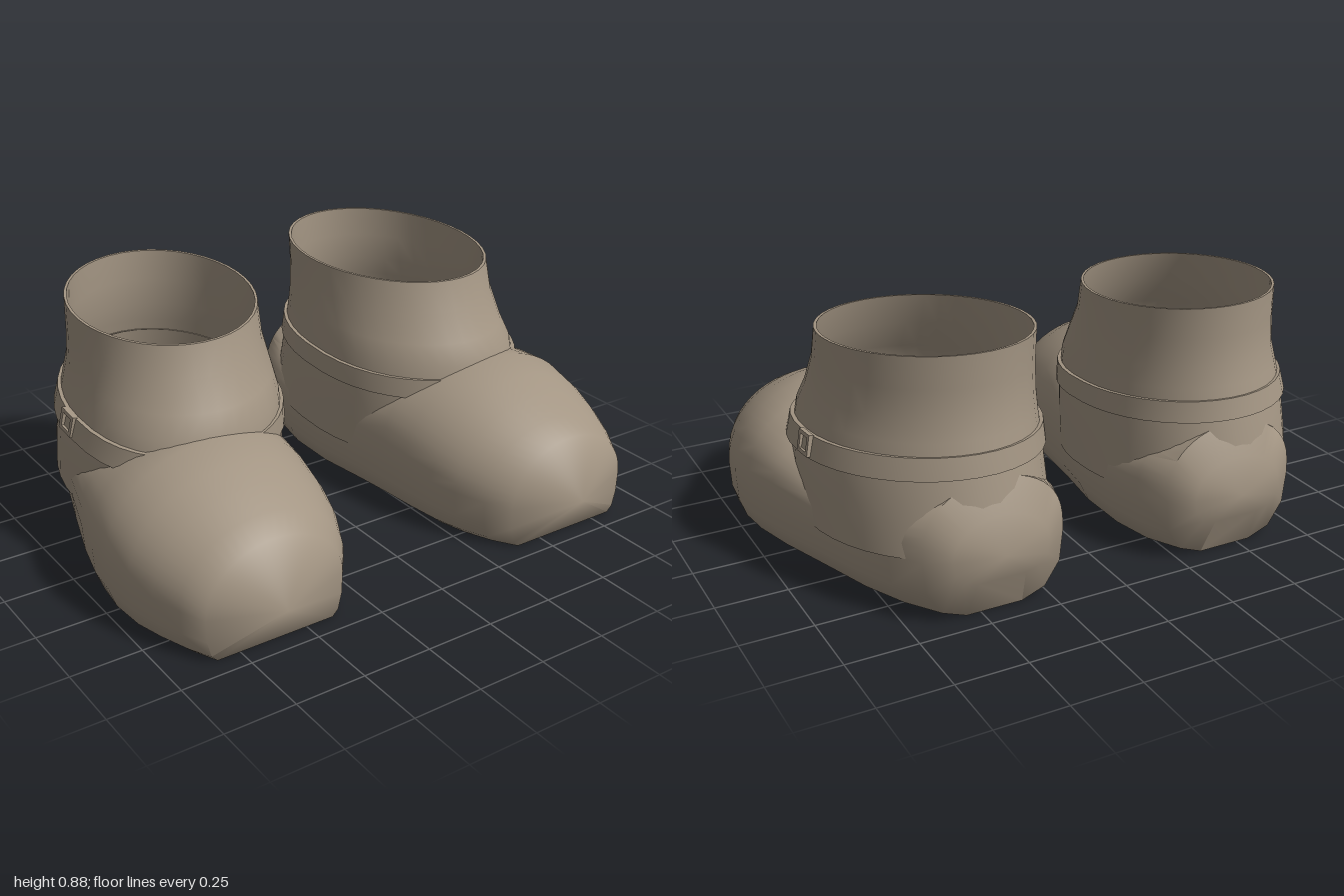
import * as THREE from 'three';
import { toCreasedNormals } from 'three/addons/utils/BufferGeometryUtils.js';

// Skin closed rings of equal point count, first to last
function loft(rings, crease) {
  const n = rings[0].length, pos = [], idx = [];
  rings.forEach(r => r.forEach(p => pos.push(p[0], p[1], p[2])));
  for (let i = 0; i < rings.length - 1; i++)
    for (let j = 0; j < n; j++) {
      const a = i * n + j, b = i * n + (j + 1) % n;
      idx.push(a, b, a + n, b, b + n, a + n);
    }
  const g = new THREE.BufferGeometry();
  g.setAttribute('position', new THREE.Float32BufferAttribute(pos, 3));
  g.setIndex(idx);
  return toCreasedNormals(g, crease);
}

// Upright cross-section of the foot: flat sole, rounded sides, domed top.
// A smaller dome power gives squarer shoulders; sole is its share of the width.
function footSection([z, xIn, xOut, top, wide, power, sole, base = 0.003]) {
  const c = (xIn + xOut) / 2, w = (xOut - xIn) / 2;
  const under = [[0, 0], [0.56, 0.14], [0.92, 0.5]].map(([s, h]) =>
    [w * (sole + (1 - sole) * s), base + (wide - base) * h]);
  const pts = under.map(([x, y]) => [c + x, y, z]);
  for (let i = 0; i <= 24; i++) {
    const t = (i / 24) * Math.PI;
    const rise = Math.pow(Math.max(0, Math.sin(t)), power);
    pts.push([c + w * Math.cos(t), wide + (top - wide) * rise, z]);
  }
  under.reverse().forEach(([x, y]) => pts.push([c - x, y, z]));
  return pts;
}

// Tilted oval ring, higher at the heel and slightly skewed.
// A smaller front power squares off its front; inset shrinks it.
function ovalRing([y, xIn, xOut, zBack, zFront, front], tilt, inset = 0) {
  const cx = (xIn + xOut) / 2, cz = (zBack + zFront) / 2;
  const rx = (xOut - xIn) / 2 - inset, rz = (zFront - zBack) / 2 - inset, pts = [];
  for (let i = 0; i < 40; i++) {
    const t = (i / 40) * Math.PI * 2, c = Math.cos(t), s = Math.sin(t);
    const depth = s > 0 ? Math.pow(s, front) : s;
    const z = cz + rz * depth + 0.12 * rx * c;
    pts.push([cx + rx * c, y - tilt * (z + 0.25), z]);
  }
  return pts.reverse();
}

function createBoot(leather) {
  const boot = new THREE.Group();
  const add = (name, geometry) => {
    const m = new THREE.Mesh(geometry, leather);
    m.name = name;
    boot.add(m);
    return m;
  };

  // Foot: z, inner x, outer x, top y, widest y, dome power, sole share, base y
  const sections = [
    [-0.725, 0.28, 0.62, 0.36, 0.235, 0.9, 0.5, 0.14],
    [-0.67, 0.20, 0.70, 0.47, 0.23, 0.75, 0.4],
    [-0.55, 0.155, 0.765, 0.43, 0.22, 0.65, 0.62],
    [-0.40, 0.13, 0.83, 0.38, 0.22, 0.6, 0.7],
    [-0.20, 0.13, 0.895, 0.39, 0.21, 0.6, 0.73],
    [0.00, 0.165, 0.955, 0.46, 0.2, 0.62, 0.78],
    [0.15, 0.185, 0.99, 0.525, 0.2, 0.8, 0.81],
    [0.27, 0.198, 1.0, 0.535, 0.2, 0.95, 0.83],
    [0.40, 0.22, 0.985, 0.50, 0.19, 1, 0.85],
    [0.50, 0.25, 0.955, 0.462, 0.18, 1, 0.85],
    [0.60, 0.30, 0.915, 0.415, 0.17, 1, 0.85],
    [0.68, 0.36, 0.87, 0.37, 0.16, 1, 0.85],
  ].map(footSection);
  const tip = (x, y, z) => sections[0].map(() => [x, y, z]);
  add('foot', loft([tip(0.45, 0.235, -0.757), ...sections, tip(0.62, 0.15, 0.76)], 0.95));

  // Ankle shaft: y, inner x, outer x, back z, front z, front power
  const rows = [
    [0.20, 0.12, 0.89, -0.735, 0.26, 0.8],
    [0.32, 0.12, 0.89, -0.715, 0.27, 0.8],
    [0.45, 0.125, 0.885, -0.685, 0.275, 0.8],
    [0.57, 0.135, 0.86, -0.66, 0.265, 0.85],
    [0.64, 0.142, 0.84, -0.645, 0.23, 0.92],
    [0.74, 0.15, 0.828, -0.64, 0.176, 1],
    [0.85, 0.15, 0.822, -0.643, 0.145, 1],
  ];
  const outer = rows.map(r => ovalRing(r, 0.076));
  const inner = rows.slice(1).reverse().map(r => ovalRing(r, 0.076, 0.01));
  add('shaft', loft([...outer, ...inner], 0.9));

  // Strap around the ankle
  const low = [0.453, 0.112, 0.902, -0.69, 0.28, 0.8];
  const high = [0.527, 0.118, 0.883, -0.676, 0.275, 0.8];
  add('strap', loft([
    ovalRing(low, 0.085, 0.025), ovalRing(low, 0.085),
    ovalRing(high, 0.085), ovalRing(high, 0.085, 0.025),
  ], 0.6));

  // Square buckle on the outer side
  const frame = new THREE.Shape();
  frame.moveTo(-0.045, -0.037).lineTo(0.045, -0.037).lineTo(0.045, 0.037).lineTo(-0.045, 0.037).closePath();
  const hole = new THREE.Path();
  hole.moveTo(-0.028, -0.024).lineTo(-0.028, 0.024).lineTo(0.028, 0.024).lineTo(0.028, -0.024).closePath();
  frame.holes.push(hole);
  const buckle = add('buckle', new THREE.ExtrudeGeometry(frame, { depth: 0.018, bevelEnabled: false }));
  buckle.rotation.set(-0.2, Math.PI / 2, 0.085, 'YXZ');
  buckle.position.set(0.882, 0.488, -0.193);
  return boot;
}

export function createModel() {
  const model = new THREE.Group();
  model.name = 'boots';
  const leather = new THREE.MeshStandardMaterial({ color: 0xa39583, side: THREE.DoubleSide });
  leather.name = 'taupe leather';
  for (const side of [1, -1]) {
    const boot = createBoot(leather);
    boot.name = side > 0 ? 'leftBoot' : 'rightBoot';
    boot.scale.x = side;
    model.add(boot);
  }
  return model;
}
